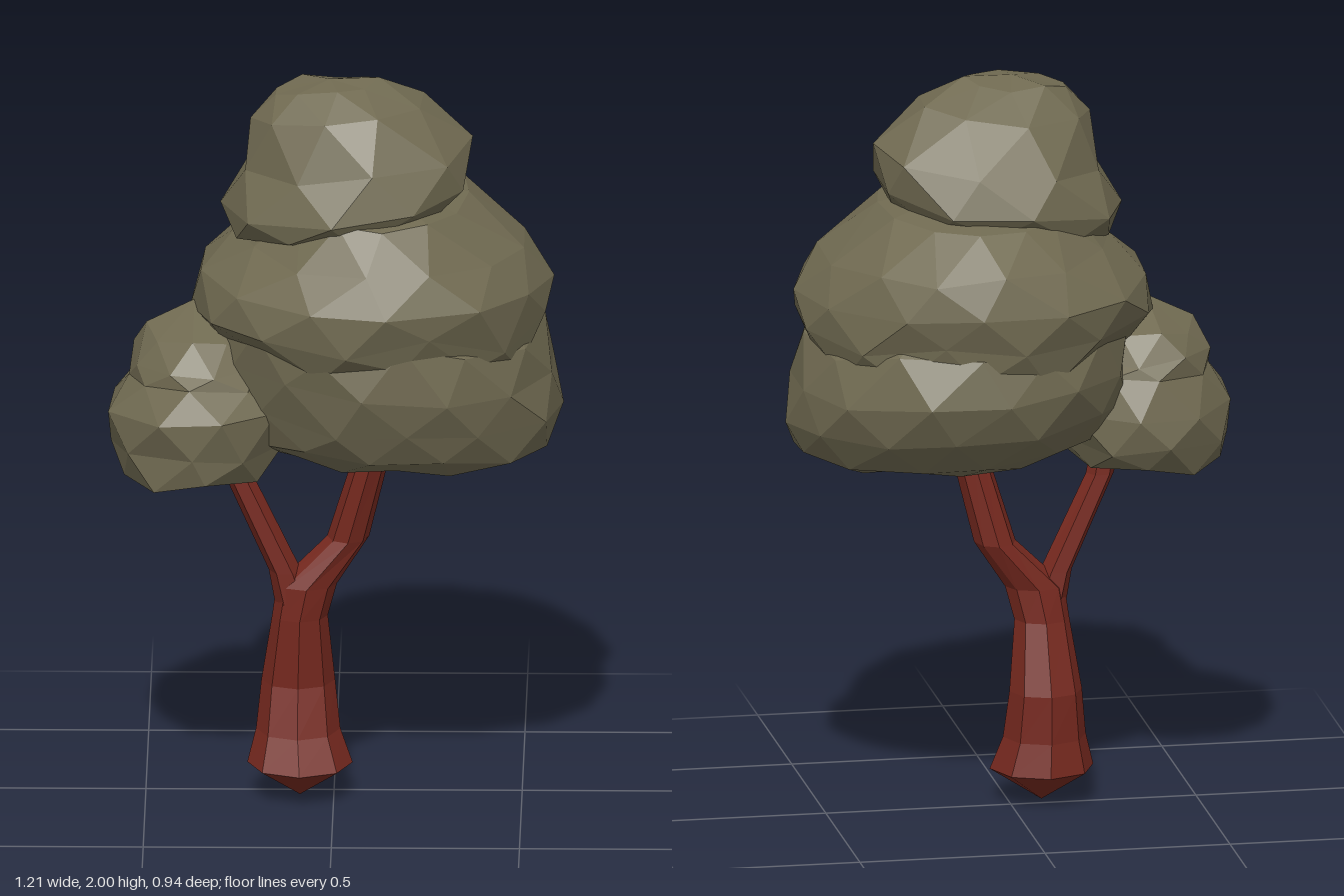
import * as THREE from 'three';

// Small seeded generator, returns -1..1
function seeded(seed) {
  let s = seed;
  return () => {
    s = (s * 16807) % 2147483647;
    return (s / 2147483647) * 2 - 1;
  };
}

// Closed loft through horizontal rings [x, y, z, rx, rz, wave], with pointed caps.
// tilt slopes the rings along x; twist offsets every other ring by half a side;
// wave makes a ring rise and fall to form a ragged edge.
function loft(rings, sides, bottom, top, { jitter = 0, tilt = 0, twist = 0, seed = 1 } = {}) {
  const rand = seeded(seed * 7919);
  const pts = rings.map(([x, y, z, rx, rz, wave = 0], j) =>
    Array.from({ length: sides }, (_, i) => {
      const a = ((i + (j % 2) * twist + rand() * jitter * 4) / sides) * Math.PI * 2;
      const k = 1 + rand() * jitter;
      const dx = Math.cos(a) * rx * k;
      const lift = dx * tilt + wave * Math.cos(a * 5) + rand() * jitter * 0.55;
      return [x + dx, y + lift, z + Math.sin(a) * rz * k];
    }));
  const pos = [];
  const tri = (...corners) => corners.forEach((p) => pos.push(...p));
  const last = rings.length - 1;
  for (let i = 0; i < sides; i++) {
    const n = (i + 1) % sides;
    tri(bottom, pts[0][i], pts[0][n]);
    for (let j = 0; j < last; j++) {
      const a = pts[j][i], b = pts[j + 1][i], c = pts[j][n], d = pts[j + 1][n];
      // Alternate rows slant the other way where the rings are twisted
      if (twist && j % 2) {
        tri(a, b, d);
        tri(a, d, c);
      } else {
        tri(a, b, c);
        tri(c, b, d);
      }
    }
    tri(top, pts[last][n], pts[last][i]);
  }
  const geo = new THREE.BufferGeometry();
  geo.setAttribute('position', new THREE.Float32BufferAttribute(pos, 3));
  geo.computeVertexNormals();
  return geo;
}

export function createModel() {
  const tree = new THREE.Group();
  tree.name = 'tree';
  const bark = new THREE.MeshStandardMaterial({ color: 0x77291f, flatShading: true });
  bark.name = 'redBark';
  const leaves = new THREE.MeshStandardMaterial({ color: 0x706a51, flatShading: true });
  leaves.name = 'oliveLeaves';

  const add = (name, geo, mat) => {
    const mesh = new THREE.Mesh(geo, mat);
    mesh.name = name;
    tree.add(mesh);
  };

  // Trunk with flared foot and pointed base, running into the thick branch
  add('trunk', loft([
    [-0.09, 0.09, 0.04, 0.14, 0.14],
    [-0.095, 0.18, 0.025, 0.112, 0.11],
    [-0.095, 0.31, 0.005, 0.098, 0.09],
    [-0.09, 0.5, 0.035, 0.074, 0.07],
    [-0.072, 0.59, 0.042, 0.08, 0.067],
    [0.038, 0.72, 0.03, 0.056, 0.07],
    [0.102, 0.96, 0.065, 0.048, 0.068],
    [0.12, 1.06, 0.07, 0.045, 0.06],
  ], 8, [-0.09, 0, 0.04], [0.12, 1.08, 0.07]), bark);

  // Thin branch under the side clump
  add('sideBranch', loft([
    [-0.105, 0.54, 0.042, 0.052, 0.055],
    [-0.13, 0.63, 0.045, 0.043, 0.052],
    [-0.25, 0.89, 0.05, 0.038, 0.04],
    [-0.27, 1.0, 0.05, 0.038, 0.038],
  ], 6, [-0.1, 0.5, 0.04], [-0.27, 1.02, 0.05]), bark);

  // Foliage clumps, stacked from the bottom up
  add('lowerFoliage', loft([
    [0.13, 0.975, 0.04, 0.32, 0.23],
    [0.16, 1.02, 0.03, 0.41, 0.335],
    [0.15, 1.11, 0, 0.455, 0.42],
    [0.14, 1.22, -0.01, 0.455, 0.46],
    [0.12, 1.34, 0, 0.435, 0.44, 0.025],
    [0.14, 1.44, 0, 0.3, 0.3],
  ], 13, [0.13, 0.965, 0.05], [0.14, 1.46, 0],
  { jitter: 0.025, tilt: -0.05, twist: 0.5, seed: 3 }), leaves);

  add('middleFoliage', loft([
    [0.12, 1.28, 0, 0.42, 0.43, 0.025],
    [0.095, 1.36, 0.01, 0.485, 0.46, 0.025],
    [0.105, 1.46, 0, 0.475, 0.475],
    [0.13, 1.56, -0.01, 0.385, 0.435],
    [0.11, 1.67, 0, 0.255, 0.335],
  ], 13, [0.12, 1.28, 0], [0.08, 1.73, 0],
  { jitter: 0.025, tilt: -0.02, twist: 0.5, seed: 11 }), leaves);

  add('topFoliage', loft([
    [0.02, 1.615, 0.02, 0.29, 0.28],
    [0.035, 1.68, 0.02, 0.33, 0.33],
    [0.065, 1.79, 0.02, 0.31, 0.28],
    [0.015, 1.92, 0.035, 0.235, 0.19],
    [-0.02, 1.985, 0.04, 0.14, 0.09],
  ], 9, [0.02, 1.61, 0], [-0.01, 2, 0.04],
  { jitter: 0.025, tilt: 0.12, twist: 0.5, seed: 23 }), leaves);

  // Side clump, flat below and narrowing to a small crown
  add('sideFoliage', loft([
    [-0.36, 0.94, 0.06, 0.21, 0.26],
    [-0.35, 1.01, 0.05, 0.245, 0.295],
    [-0.345, 1.11, 0.05, 0.262, 0.3],
    [-0.34, 1.2, 0.04, 0.2, 0.25],
    [-0.345, 1.24, 0.04, 0.195, 0.23],
    [-0.35, 1.31, 0.03, 0.15, 0.17],
  ], 9, [-0.36, 0.935, 0.06], [-0.37, 1.38, 0.03],
  { jitter: 0.03, tilt: 0.05, twist: 0.5, seed: 31 }), leaves);

  return tree;
}
